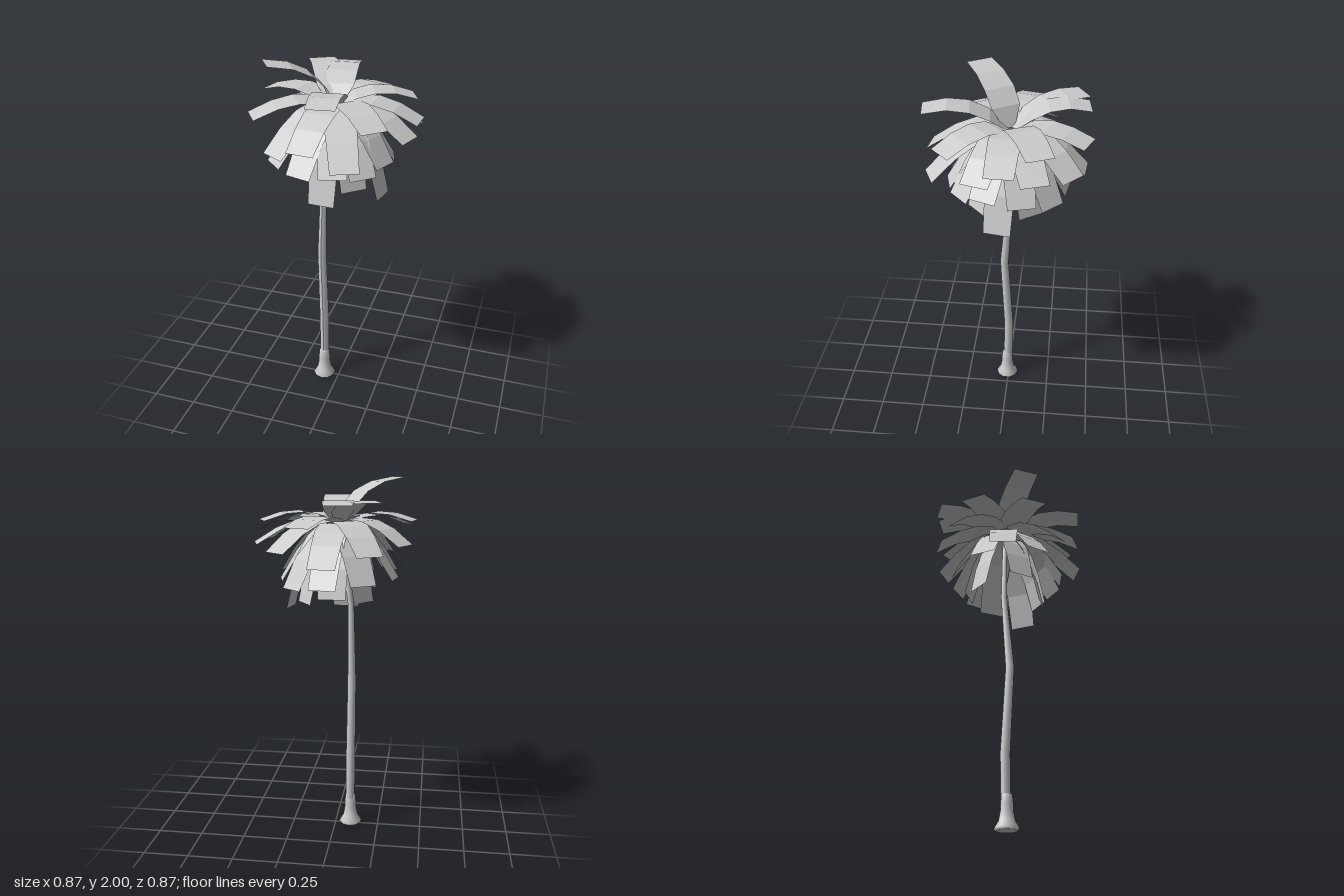
import * as THREE from 'three';

const grey = new THREE.MeshStandardMaterial({ color: 0xcccccc });
grey.name = 'trunk grey';
const leafGrey = new THREE.MeshStandardMaterial({ color: 0xcccccc, side: THREE.DoubleSide, flatShading: true });
leafGrey.name = 'frond grey';

const CROWN = new THREE.Vector3(-0.02, 1.76, -0.02);

// Tube with straight joints through rings of [x, y, z, radius]
function loft(rings, sides) {
  const g = new THREE.CylinderGeometry(1, 1, 1, sides, rings.length - 1, false);
  const p = g.attributes.position;
  for (let i = 0; i < p.count; i++) {
    const [x, y, z, r] = rings[Math.round((p.getY(i) + 0.5) * (rings.length - 1))];
    p.setXYZ(i, x + p.getX(i) * r, y, z + p.getZ(i) * r);
  }
  g.computeVertexNormals();
  return g;
}

// Arched strip from the crown to a tip; bend is where the arch peaks along its reach
function frond([tipX, tipZ, tipY, archY, bend = 0.42]) {
  const dx = tipX - CROWN.x, dz = tipZ - CROWN.z;
  const reach = Math.hypot(dx, dz);
  const curve = new THREE.QuadraticBezierCurve(
    new THREE.Vector2(0.015, CROWN.y),
    new THREE.Vector2(reach * bend, archY),
    new THREE.Vector2(reach, tipY));
  const widths = [0.06, 0.16, 0.165, 0.155, 0.145];
  const n = widths.length - 1;
  const g = new THREE.PlaneGeometry(1, 1, 1, n);
  const p = g.attributes.position;
  for (let i = 0; i < p.count; i++) {
    const k = Math.round((0.5 - p.getY(i)) * n);
    const q = curve.getPoint(k / n);
    p.setXYZ(i, -p.getX(i) * widths[k], q.y, q.x);
  }
  g.computeVertexNormals();
  const mesh = new THREE.Mesh(g, leafGrey);
  mesh.position.set(CROWN.x, 0, CROWN.z);
  mesh.rotation.y = Math.atan2(dx, dz);
  return mesh;
}

// Fronds by tier: tip x, tip z, tip height, arch height, bend
const TIERS = {
  risingFrond: [
    [-0.065, -0.415, 1.88, 1.95],
    [-0.325, 0.175, 2.0, 1.98, 0.2],
    [0.04, 0.42, 1.88, 1.95],
    [-0.215, -0.38, 1.89, 1.93],
  ],
  upperFrond: [
    [-0.425, -0.115, 1.79, 1.88],
    [0.36, -0.19, 1.79, 1.89],
    [0.14, -0.415, 1.77, 1.86],
    [0.27, 0.30, 1.75, 1.87],
    [0.43, 0.0, 1.72, 1.87],
    [-0.39, 0.23, 1.74, 1.86],
  ],
  middleFrond: [
    [-0.385, -0.21, 1.67, 1.86],
    [0.40, -0.17, 1.67, 1.85],
    [0.405, 0.12, 1.66, 1.86],
    [0.265, -0.345, 1.64, 1.85],
    [0.02, -0.41, 1.57, 1.82],
    [-0.24, 0.335, 1.58, 1.83],
    [-0.07, 0.41, 1.64, 1.84],
    [0.15, 0.385, 1.56, 1.82],
    [-0.22, -0.37, 1.63, 1.84],
  ],
  lowerFrond: [
    [-0.385, 0.05, 1.5, 1.8],
    [-0.33, -0.08, 1.48, 1.8],
    [-0.28, 0.23, 1.49, 1.8],
    [-0.12, 0.31, 1.47, 1.79],
    [0.06, 0.3, 1.48, 1.8],
    [0.2, 0.23, 1.47, 1.8],
    [0.28, 0.1, 1.5, 1.8],
    [0.28, -0.1, 1.47, 1.8],
    [0.2, -0.25, 1.44, 1.8],
    [0.03, -0.32, 1.45, 1.8],
    [-0.18, -0.28, 1.47, 1.8],
  ],
  hangingFrond: [
    [-0.035, 0.2, 1.275, 1.72, 0.65],
    [0.13, 0.15, 1.36, 1.74, 0.65],
    [0.255, 0.03, 1.295, 1.75, 0.65],
    [0.15, -0.14, 1.35, 1.74, 0.65],
    [-0.01, -0.24, 1.39, 1.74, 0.65],
    [-0.17, -0.14, 1.36, 1.74, 0.65],
    [-0.17, 0.11, 1.41, 1.74, 0.65],
  ],
};

export function createModel() {
  const tree = new THREE.Group();
  tree.name = 'palmTree';

  // Bent, tapering trunk
  const trunk = new THREE.Mesh(loft([
    [-0.088, 0.1, 0.003, 0.026],
    [-0.088, 0.4, -0.002, 0.027],
    [-0.09, 0.88, 0.024, 0.024],
    [-0.087, 1.32, -0.01, 0.017],
    [-0.05, 1.6, -0.015, 0.015],
    [-0.02, 1.75, -0.02, 0.012],
  ], 10), grey);
  trunk.name = 'trunk';
  tree.add(trunk);

  // Flared foot with a flat underside and a collar on top
  const profile = [[0, 0], [0.055, 0], [0.066, 0.012], [0.044, 0.048], [0.034, 0.1], [0.034, 0.135], [0.029, 0.183], [0.02, 0.186]];
  const foot = new THREE.Mesh(new THREE.LatheGeometry(profile.map(([r, y]) => new THREE.Vector2(r, y)), 10), grey);
  foot.name = 'trunkFoot';
  foot.position.set(-0.088, 0, 0.007);
  tree.add(foot);

  // Crown of fronds
  const crown = new THREE.Group();
  crown.name = 'crown';
  for (const [name, list] of Object.entries(TIERS)) {
    list.forEach((spec, i) => {
      const mesh = frond(spec);
      mesh.name = name + (i + 1);
      crown.add(mesh);
    });
  }
  tree.add(crown);
  return tree;
}
